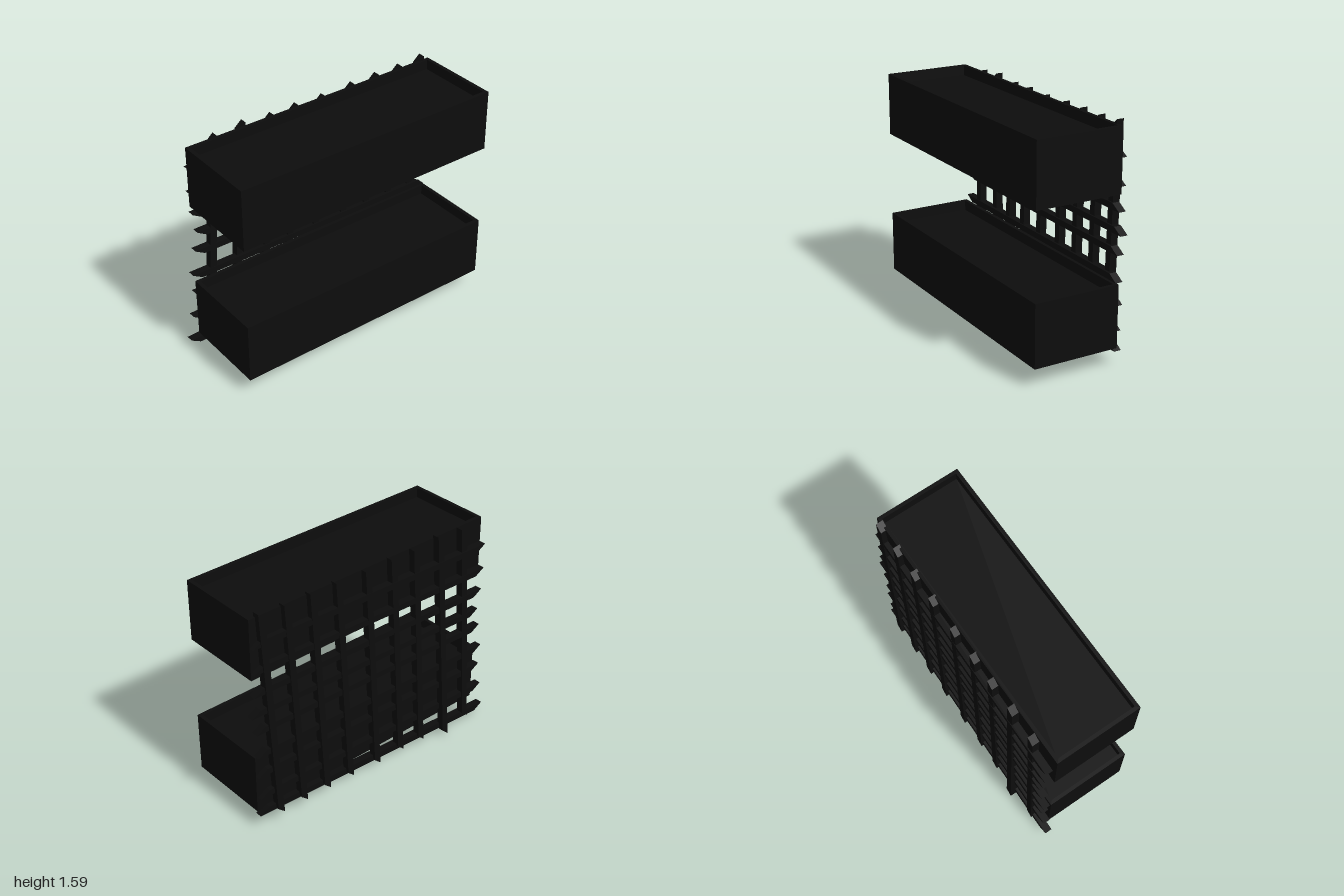
import * as THREE from 'three';

const material = new THREE.MeshStandardMaterial({ color: 0x0d0d0d });

function add(parent, name, geometry) {
  const mesh = new THREE.Mesh(geometry, material);
  mesh.name = name;
  parent.add(mesh);
}

// Lath between two points, with both ends cut on the same slant.
function lath(from, to, upright, width, depth, skew) {
  const geo = new THREE.BoxGeometry(1, 1, 1);
  const pos = geo.attributes.position;
  const p = new THREE.Vector3();
  const v = new THREE.Vector3();
  for (let i = 0; i < pos.count; i++) {
    v.fromBufferAttribute(pos, i);
    const along = upright ? v.y : v.z;
    const across = upright ? v.z : v.y;
    p.lerpVectors(from, to, along + 0.5);
    p.x += v.x * depth;
    if (upright) {
      p.z += across * width;
      p.y -= across * 2 * skew;
    } else {
      p.y += across * width;
      p.z += across * 2 * skew;
    }
    pos.setXYZ(i, p.x, p.y, p.z);
  }
  geo.computeVertexNormals();
  return geo;
}

function rectangle(Type, x0, x1, z0, z1) {
  const r = new Type();
  r.moveTo(x0, -z0);
  r.lineTo(x0, -z1);
  r.lineTo(x1, -z1);
  r.lineTo(x1, -z0);
  r.closePath();
  return r;
}

// Open trough with a recessed fill.
function planter(name, bottom, top) {
  const group = new THREE.Group();
  group.name = name;
  const [x0, x1, z0, z1, wall] = [-0.25, 0.35, -0.97, 0.945, 0.025];
  const shape = rectangle(THREE.Shape, x0, x1, z0, z1);
  shape.holes.push(rectangle(THREE.Path, x0 + wall, x1 - wall, z0 + wall, z1 - wall));
  const walls = new THREE.ExtrudeGeometry(shape, { depth: top - bottom, bevelEnabled: false });
  walls.rotateX(-Math.PI / 2).translate(0, bottom, 0);
  add(group, 'planterWalls', walls);

  const height = top - bottom - 0.07;
  const fill = new THREE.BoxGeometry(x1 - x0 - 2 * wall, height, z1 - z0 - 2 * wall);
  fill.translate((x0 + x1) / 2, bottom + height / 2, (z0 + z1) / 2);
  add(group, 'planterFill', fill);
  return group;
}

export function createModel() {
  const model = new THREE.Group();
  model.name = 'trellisPlanter';
  model.add(planter('lowerPlanter', 0.13, 0.555), planter('upperPlanter', 1.135, 1.56));

  const trellis = new THREE.Group();
  trellis.name = 'trellis';
  model.add(trellis);

  // Upright laths: z at the ground, bottom tip, top tip
  const uprights = [
    [0.82, 0.04, 1.56], [0.61, 0, 1.58], [0.4, 0.04, 1.56],
    [0.21, 0.05, 1.565], [0, 0.04, 1.56], [-0.235, 0.055, 1.57],
    [-0.435, 0.06, 1.575], [-0.63, 0.065, 1.575], [-0.82, 0.07, 1.59],
  ];
  uprights.forEach(([z, y0, y1], i) => {
    const lean = i === 1 ? 0.025 : 0;
    const from = new THREE.Vector3(-0.29 - 0.01 * z - lean, y0 + 0.022, z);
    const to = new THREE.Vector3(-0.267 - 0.01 * z, y1 - 0.022, z - 0.078);
    add(trellis, 'uprightLath', lath(from, to, true, 0.05, 0.05, 0.022));
  });

  // Cross laths: height at front and back, front tip, back tip
  const crossLaths = [
    [0.055, 0.13, 1, -0.97], [0.24, 0.26, 0.97, -0.96], [0.42, 0.435, 0.94, -0.97],
    [0.57, 0.585, 0.95, -0.965], [0.75, 0.765, 0.92, -0.97], [0.885, 0.9, 0.895, -1],
    [1.03, 1.045, 0.92, -0.975], [1.19, 1.205, 0.93, -0.97], [1.37, 1.385, 0.93, -0.97],
  ];
  for (const [yFront, yBack, zFront, zBack] of crossLaths) {
    const from = new THREE.Vector3(-0.257, yBack, zBack + 0.035);
    const to = new THREE.Vector3(-0.288, yFront, zFront - 0.035);
    add(trellis, 'crossLath', lath(from, to, false, 0.042, 0.05, 0.035));
  }
  return model;
}
